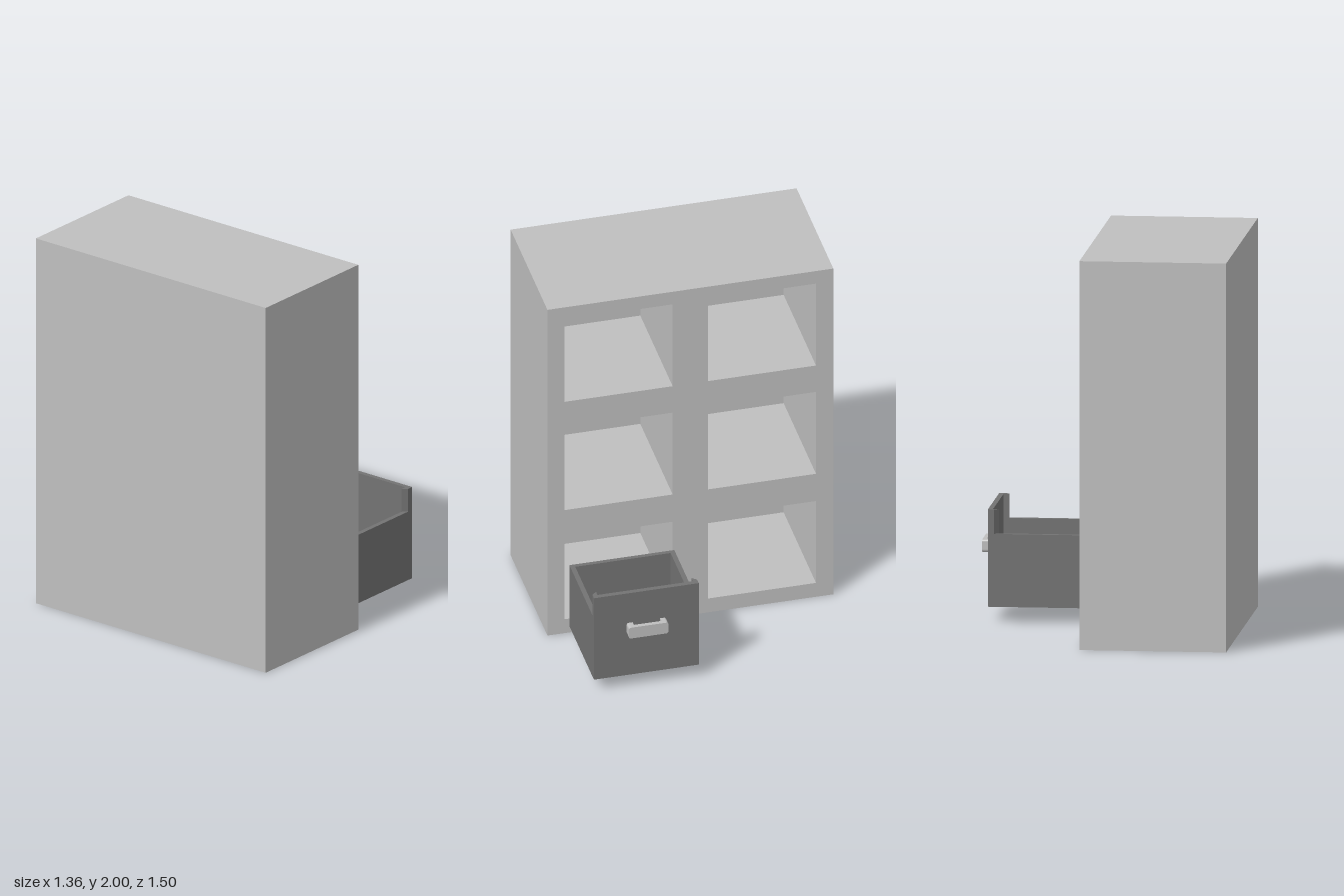
import * as THREE from 'three';

const cabinetGrey = new THREE.MeshStandardMaterial({ name: 'light grey', color: 0xbfbfbf });
const drawerGrey = new THREE.MeshStandardMaterial({ name: 'dark grey', color: 0x737373 });

function addMesh(parent, name, geometry, material) {
  const mesh = new THREE.Mesh(geometry, material);
  mesh.name = name;
  parent.add(mesh);
  return mesh;
}

function boxBetween(x0, x1, y0, y1, z0, z1) {
  return new THREE.BoxGeometry(x1 - x0, y1 - y0, z1 - z0)
    .translate((x0 + x1) / 2, (y0 + y1) / 2, (z0 + z1) / 2);
}

// Rectangle whose left and right corners are rounded by rl and rr
function rect(Type, x0, x1, y0, y1, rl = 0, rr = 0) {
  const s = new Type();
  s.moveTo(x0 + rl, y0);
  s.lineTo(x1 - rr, y0);
  if (rr) s.quadraticCurveTo(x1, y0, x1, y0 + rr);
  s.lineTo(x1, y1 - rr);
  if (rr) s.quadraticCurveTo(x1, y1, x1 - rr, y1);
  s.lineTo(x0 + rl, y1);
  if (rl) s.quadraticCurveTo(x0, y1, x0, y1 - rl);
  s.lineTo(x0, y0 + rl);
  if (rl) s.quadraticCurveTo(x0, y0, x0 + rl, y0);
  return s;
}

// Shape drawn in (-z, y), extruded along x
function extrudeX(shape, x0, x1) {
  return new THREE.ExtrudeGeometry(shape, { depth: x1 - x0, bevelEnabled: false, curveSegments: 4 })
    .rotateY(Math.PI / 2).translate(x0, 0, 0);
}

// Shape drawn in (x, -z), extruded along y
function extrudeY(shape, y0, y1) {
  return new THREE.ExtrudeGeometry(shape, { depth: y1 - y0, bevelEnabled: false })
    .rotateX(-Math.PI / 2).translate(0, y0, 0);
}

function createCabinet() {
  const cabinet = new THREE.Group();
  cabinet.name = 'cabinet';
  // Block pierced by two columns of three drawer openings
  const face = rect(THREE.Shape, -0.75, 0.75, 0, 2);
  for (const y of [0.085, 0.755, 1.42]) {
    for (const x of [-0.66, 0.092]) {
      face.holes.push(rect(THREE.Path, x, x + 0.567, y, y + 0.503));
    }
  }
  addMesh(cabinet, 'compartments', extrudeX(face, -0.59, 0.07), cabinetGrey);
  addMesh(cabinet, 'backPanel', boxBetween(-0.68, -0.59, 0, 2, -0.75, 0.75), cabinetGrey);
  return cabinet;
}

function createDrawer() {
  const drawer = new THREE.Group();
  drawer.name = 'drawer';
  const out = 0.275, inn = 0.25;

  // Open tray
  const ring = rect(THREE.Shape, 0.13, 0.63, -out, out);
  ring.holes.push(rect(THREE.Path, 0.152, 0.605, -inn, inn));
  addMesh(drawer, 'trayWalls', extrudeY(ring, 0.08, 0.455), drawerGrey);
  addMesh(drawer, 'trayFloor', boxBetween(0.152, 0.605, 0.08, 0.105, -inn, inn), drawerGrey);

  // Raised front with short slanted returns at both ends
  const raised = new THREE.Shape([
    [0.63, -out], [0.63, out], [0.597, out], [0.575, inn],
    [0.605, inn], [0.605, -inn], [0.575, -inn], [0.597, -out],
  ].map(([x, y]) => new THREE.Vector2(x, y)));
  addMesh(drawer, 'raisedFront', extrudeY(raised, 0.455, 0.58), drawerGrey);

  // Pull handle: rounded bar on two legs
  const handle = new THREE.Group();
  handle.name = 'handle';
  drawer.add(handle);
  const h = 0.104, leg = 0.032, r = 0.014;
  addMesh(handle, 'handleBar', extrudeX(rect(THREE.Shape, -h, h, 0.333, 0.399, r, r), 0.655, 0.677), cabinetGrey);
  addMesh(handle, 'handleLegLeft', extrudeX(rect(THREE.Shape, -h, -h + leg, 0.333, 0.399, r, 0), 0.63, 0.655), cabinetGrey);
  addMesh(handle, 'handleLegRight', extrudeX(rect(THREE.Shape, h - leg, h, 0.333, 0.399, 0, r), 0.63, 0.655), cabinetGrey);

  drawer.position.z = 0.375;
  return drawer;
}

export function createModel() {
  const model = new THREE.Group();
  model.name = 'drawerCabinet';
  model.add(createCabinet(), createDrawer());
  return model;
}
